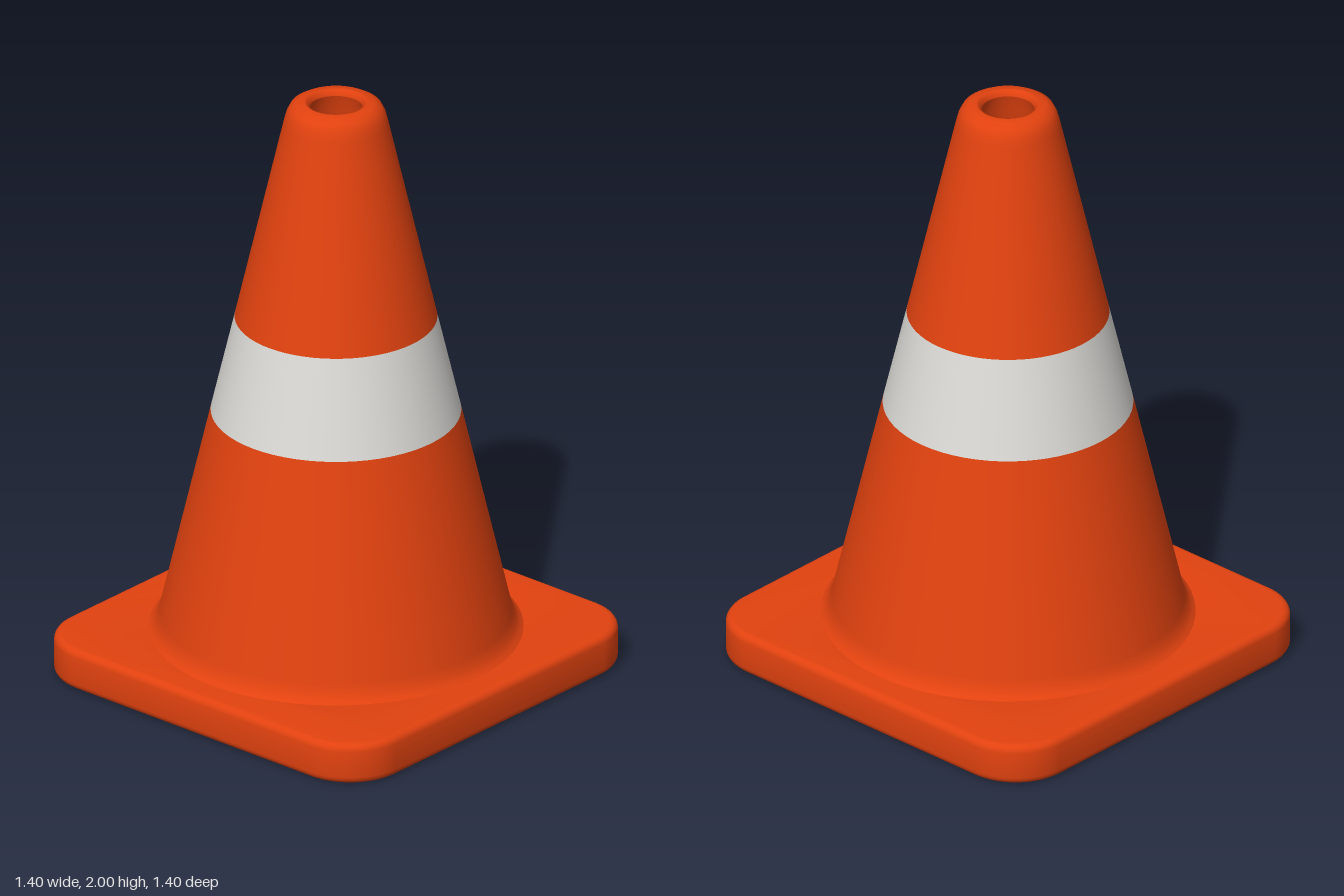
import * as THREE from 'three';
import { toCreasedNormals } from 'three/addons/utils/BufferGeometryUtils.js';

const orange = new THREE.MeshStandardMaterial({ name: 'orange', color: 0xe2420f });
const white = new THREE.MeshStandardMaterial({ name: 'white', color: 0xdcdbd7 });

// Surface of revolution from [radius, height] pairs
function lathe(name, profile, material) {
  const points = profile.map(([r, y]) => new THREE.Vector2(r, y));
  const mesh = new THREE.Mesh(new THREE.LatheGeometry(points, 64), material);
  mesh.name = name;
  return mesh;
}

// Rounded square foot with a round opening beneath the cone
function makeBase() {
  const half = 0.7, corner = 0.2, height = 0.14, bevel = 0.025;
  const shape = new THREE.Shape();
  const c = half - corner;
  [[c, c], [-c, c], [-c, -c], [c, -c]].forEach(([x, y], i) =>
    shape.absarc(x, y, corner, i * Math.PI / 2, (i + 1) * Math.PI / 2, false));
  shape.closePath();
  const hole = new THREE.Path();
  hole.absarc(0, 0, 0.53, 0, Math.PI * 2, true);
  shape.holes.push(hole);

  const geometry = new THREE.ExtrudeGeometry(shape, {
    depth: height - 2 * bevel, curveSegments: 16,
    bevelEnabled: true, bevelThickness: bevel, bevelSize: bevel,
    bevelOffset: -bevel, bevelSegments: 4,
  });
  geometry.rotateX(-Math.PI / 2).translate(0, bevel, 0);
  const mesh = new THREE.Mesh(toCreasedNormals(geometry, 0.7), orange);
  mesh.name = 'base';
  return mesh;
}

export function createModel() {
  const model = new THREE.Group();
  model.name = 'trafficCone';
  model.add(
    makeBase(),
    // Body flares softly into the base
    lathe('lowerBody', [[0.61, 0.135], [0.592, 0.148], [0.578, 0.168], [0.567, 0.2], [0.403, 0.91]], orange),
    lathe('reflectiveBand', [[0.403, 0.91], [0.326, 1.24]], white),
    // Tip with rounded shoulder and open rim
    lathe('upperBody', [[0.326, 1.24], [0.168, 1.93], [0.16, 1.96], [0.147, 1.985], [0.125, 1.998], [0.1, 2]], orange),
    lathe('topRim', [[0.1, 2], [0.09, 1.995], [0.085, 1.98]], orange),
    lathe('innerWall', [[0.085, 1.98], [0.1, 1.93], [0.53, 0.1]], orange),
  );
  return model;
}
